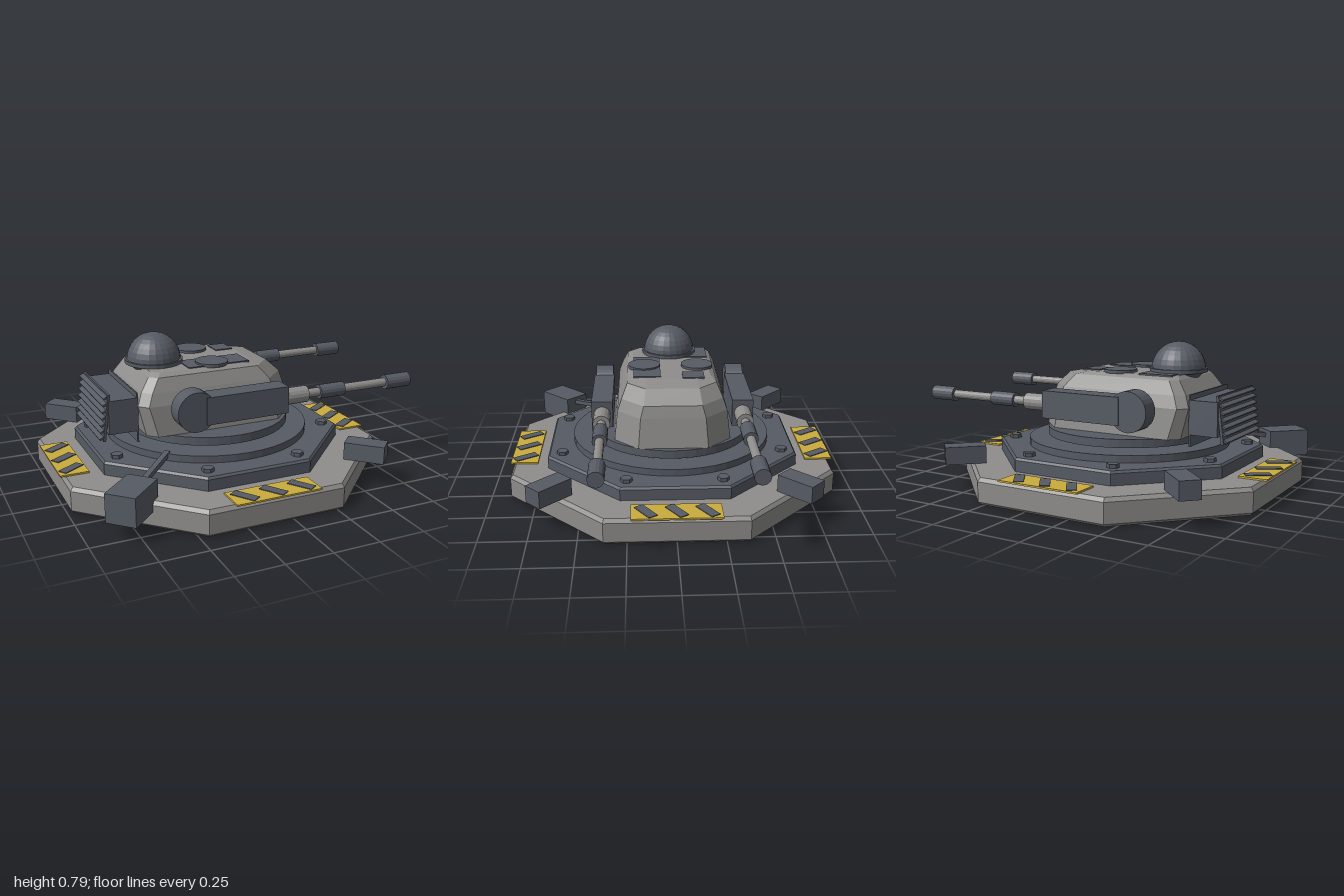
import * as THREE from 'three';

const mat = (name, color) => {
  const m = new THREE.MeshStandardMaterial({ color, flatShading: true });
  m.name = name;
  return m;
};

// Eight-cornered cross-section: [y, back x, front x, half depth, back chamfer, front chamfer]
function section([y, x0, x1, hz, cb, cf]) {
  return [
    [x1, hz - cf], [x1, cf - hz], [x1 - cf, -hz], [x0 + cb, -hz],
    [x0, cb - hz], [x0, hz - cb], [x0 + cb, hz], [x1 - cf, hz],
  ].map(([x, z]) => [x, y, z]);
}

// Skin stacked cross-sections and close both ends
function loft(sections) {
  const rings = sections.map(section);
  const pos = [];
  const tri = (...pts) => pts.forEach((p) => pos.push(...p));
  for (let k = 0; k + 1 < rings.length; k++) {
    for (let i = 0; i < 8; i++) {
      const j = (i + 1) % 8, lo = rings[k], hi = rings[k + 1];
      tri(lo[i], lo[j], hi[j]);
      tri(lo[i], hi[j], hi[i]);
    }
  }
  const bottom = rings[0], top = rings[rings.length - 1];
  for (let i = 1; i < 7; i++) {
    tri(top[0], top[i], top[i + 1]);
    tri(bottom[0], bottom[i + 1], bottom[i]);
  }
  const g = new THREE.BufferGeometry();
  g.setAttribute('position', new THREE.Float32BufferAttribute(pos, 3));
  g.computeVertexNormals();
  return g;
}

const CX = -0.09; // pivot of the base and ring
const octagon = (y, a) => [y, CX - a, CX + a, a, a * 0.5858, a * 0.5858];

export function createModel() {
  const model = new THREE.Group();
  const grey = mat('lightGrey', 0x8e8d8b);
  const dark = mat('darkSteel', 0x565b64);
  const yellow = mat('hazardYellow', 0xcaac3c);
  const darkSmooth = dark;

  const add = (name, geo, material, x = 0, y = 0, z = 0, parent = model) => {
    const m = new THREE.Mesh(geo, material);
    m.name = name;
    m.position.set(x, y, z);
    parent.add(m);
    return m;
  };
  const box = (w, h, d) => new THREE.BoxGeometry(w, h, d);
  const disc = (r, h, n = 32) => new THREE.CylinderGeometry(r, r, h, n);
  const rod = (r, x0, x1) => disc(r, x1 - x0, 16).rotateZ(-Math.PI / 2).translate((x0 + x1) / 2, 0, 0);

  // Base slab, mounting plate and bearing rings
  add('baseSlab', loft([octagon(0, 0.875), octagon(0.015, 0.89), octagon(0.12, 0.89), octagon(0.14, 0.875)]), grey);
  add('mountingPlate', loft([octagon(0.14, 0.69), octagon(0.2, 0.69), octagon(0.212, 0.68)]), dark);
  add('lowerRing', disc(0.562, 0.04, 48), dark, CX, 0.23, 0);
  add('turretRing', disc(0.456, 0.045, 48), dark, CX, 0.287, 0);

  // Bolts around the mounting plate
  for (let i = 0; i < 8; i++) {
    const a = Math.PI / 8 + (i * Math.PI) / 4;
    add('bolt', disc(0.032, 0.022, 6), dark, CX + 0.66 * Math.cos(a), 0.221, 0.66 * Math.sin(a));
  }

  // Hazard panels with diagonal stripes on the four sides
  for (let i = 0; i < 4; i++) {
    const panel = new THREE.Group();
    panel.name = 'hazardPanel';
    panel.position.set(CX, 0, 0);
    panel.rotation.y = (i * Math.PI) / 2;
    model.add(panel);
    add('hazardPlate', box(0.46, 0.009, 0.152), yellow, 0, 0.1455, -0.829, panel);
    for (const x of [-0.155, 0, 0.155]) {
      add('hazardStripe', box(0.052, 0.005, 0.135), dark, x, 0.1515, -0.829, panel).rotation.y = 0.58;
    }
  }

  // Corner blocks on three diagonals and a larger one with a cable arm on the fourth
  for (let i = 0; i < 4; i++) {
    const corner = new THREE.Group();
    corner.name = 'cornerMount';
    corner.position.set(CX, 0, 0);
    corner.rotation.y = Math.PI / 4 + (i * Math.PI) / 2;
    model.add(corner);
    if (i === 2) {
      add('powerBox', box(0.24, 0.15, 0.16), dark, 0.95, 0.16, 0, corner);
      const arm = add('cableArm', box(0.31, 0.025, 0.03), dark, 0.69, 0.223, 0, corner);
      arm.rotation.z = -0.14;
    } else {
      add('cornerBlock', box(0.215, 0.095, 0.11), dark, 0.92, 0.187, 0, corner);
    }
  }

  // Faceted turret hull
  add('turretHull', loft([
    [0.31, -0.54, 0.335, 0.318, 0.05, 0.13],
    [0.47, -0.577, 0.305, 0.3, 0.045, 0.125],
    [0.535, -0.55, 0.288, 0.277, 0.045, 0.12],
    [0.605, -0.5, 0.21, 0.245, 0.04, 0.1],
    [0.624, -0.48, 0.11, 0.215, 0.04, 0.08],
  ]), grey);

  // Roof plates and hatches
  const roof = [[-0.365, -0.14, 0.19, 0.16], [0.05, -0.12, 0.1, 0.12], [-0.1, 0.135, 0.35, 0.15]];
  for (const [x, z, w, d] of roof) add('roofPlate', box(w, 0.009, d), dark, x, 0.625, z);
  for (const z of [-0.15, 0.15]) add('hatch', disc(0.09, 0.018, 24), dark, -0.12, 0.629, z);

  // Sensor dome on its collar
  add('domeCollar', new THREE.CylinderGeometry(0.14, 0.1, 0.04, 24), dark, -0.395, 0.607, 0);
  add('domeFlange', disc(0.157, 0.02, 24), dark, -0.395, 0.636, 0);
  add('dome', new THREE.SphereGeometry(0.146, 24, 8, 0, Math.PI * 2, 0, Math.PI / 2), darkSmooth, -0.395, 0.641, 0);

  // Rear pack with tilted louvre panel
  add('rearBackplate', box(0.008, 0.27, 0.48), dark, -0.576, 0.405, 0);
  add('rearPack', box(0.15, 0.18, 0.48), dark, -0.655, 0.423, 0);
  const louvre = new THREE.Group();
  louvre.name = 'louvrePanel';
  louvre.position.set(-0.738, 0.42, 0);
  louvre.rotation.z = -0.13;
  model.add(louvre);
  add('louvreFrame', box(0.014, 0.25, 0.46), dark, 0, 0, 0, louvre);
  for (let i = 0; i < 7; i++) {
    add('louvreSlat', box(0.032, 0.01, 0.45), dark, -0.012, -0.108 + i * 0.036, 0, louvre).rotation.z = 0.6;
  }

  // Twin side guns
  for (const side of [-1, 1]) {
    const gun = new THREE.Group();
    gun.name = side > 0 ? 'leftGun' : 'rightGun';
    gun.position.set(0, 0.456, side * 0.382);
    model.add(gun);
    add('gunPivot', disc(0.107, 0.1, 28).rotateX(Math.PI / 2), dark, -0.32, 0, 0, gun);
    add('gunHousing', box(0.47, 0.148, 0.115), dark, -0.035, 0, 0, gun);
    add('barrelSleeve', rod(0.046, 0.19, 0.335), grey, 0, 0, 0, gun);
    add('barrel', rod(0.024, 0.32, 0.99), grey, 0, 0, 0, gun);
    add('barrelCollar', rod(0.039, 0.415, 0.567), dark, 0, 0, 0, gun);
    add('muzzle', rod(0.041, 0.845, 1), dark, 0, 0, 0, gun);
  }

  return model;
}
